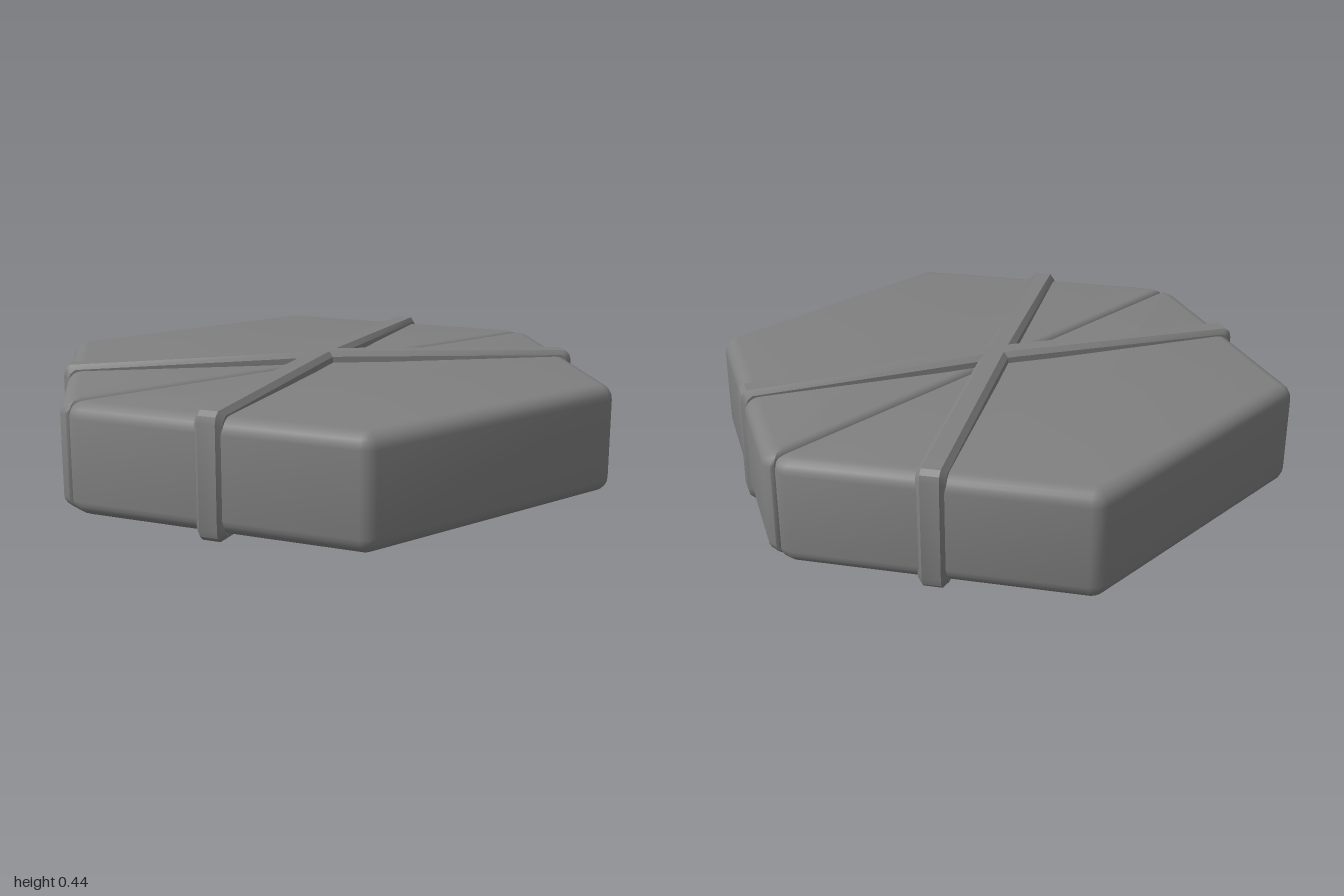
import * as THREE from 'three';
import { toCreasedNormals } from 'three/addons/utils/BufferGeometryUtils.js';

const MID = 0.223; // mid height of the model

// Skin a grid of points, points[u][v], closed along u and optionally along v.
function skin(points, closedV, crease) {
  const pos = [];
  const tri = (a, b, c) => {
    if (a.distanceTo(b) < 1e-6 || b.distanceTo(c) < 1e-6 || c.distanceTo(a) < 1e-6) return;
    for (const p of [a, b, c]) pos.push(p.x, p.y, p.z);
  };
  const nu = points.length, nv = points[0].length;
  for (let i = 0; i < nu; i++) {
    const p = points[i], q = points[(i + 1) % nu];
    for (let j = 0; j < (closedV ? nv : nv - 1); j++) {
      const k = (j + 1) % nv;
      tri(p[j], q[j], q[k]);
      tri(p[j], q[k], p[k]);
    }
  }
  const geo = new THREE.BufferGeometry();
  geo.setAttribute('position', new THREE.Float32BufferAttribute(pos, 3));
  return toCreasedNormals(geo, crease);
}

// Half of the hexagonal slab: every outline point rounds over to a core corner.
// The seam edge has a tighter rounding than the outer edges.
function halfSlab() {
  const front = [ // outer x, z, core x, z, rounding height
    [0.001, 0.95, 0.028, 0.94, 0.028], [0.003, 0.988, 0.028, 0.94, 0.03],
    [0.012, 1, 0.04, 0.94, 0.045], [0.05, 1, 0.05, 0.94, 0.05],
    [0.86, 0.533, 0.835, 0.488, 0.05], [0.878, 0.514, 0.835, 0.488, 0.05],
    [0.885, 0.488, 0.835, 0.488, 0.05],
  ];
  const back = front.map(([x, z, cx, cz, r]) => [x, -z, cx, -cz, r]).reverse();
  const half = 0.182, steps = 5;
  const points = [...front, ...back].map(([x, z, cx, cz, r]) => {
    const column = [new THREE.Vector3(0.44, MID - half, 0)];
    for (const side of [-1, 1]) {
      for (let k = 0; k <= steps; k++) {
        const a = (side < 0 ? steps - k : k) / steps * Math.PI / 2;
        const t = k === (side < 0 ? 0 : steps) ? 0 : Math.cos(a);
        column.push(new THREE.Vector3(
          cx + (x - cx) * t, MID + side * (half - r + r * Math.sin(a)), cz + (z - cz) * t));
      }
    }
    column.push(new THREE.Vector3(0.44, MID + half, 0));
    return column;
  });
  return skin(points, false, 0.7);
}

// Chamfered band running all the way round the slab, level at the crossing.
function strap() {
  const quarter = [ // along, height from middle
    [0.903, 0.165], [0.897, 0.187], [0.88, 0.202], [0.06, 0.222],
  ];
  const lower = quarter.map(([s, y]) => [s, -y]).reverse();
  const right = [...lower, ...quarter];
  const path = [...right, ...right.map(([s, y]) => [-s, -y])]; // point symmetric loop
  const section = [ // across, depth below the outer face
    [-0.048, 0.035], [-0.047, 0.016], [-0.03, 0],
    [0.03, 0], [0.047, 0.016], [0.048, 0.035],
  ];
  const points = path.map(([s, y]) => section.map(([w, d]) =>
    new THREE.Vector3(s * (1 - d / 0.9), MID + y * (1 - d / 0.21), w)));
  return skin(points, true, 0.5);
}

export function createModel() {
  const model = new THREE.Group();
  const material = new THREE.MeshStandardMaterial({ color: 0x808080 });
  const add = (name, geometry, degrees) => {
    const mesh = new THREE.Mesh(geometry, material);
    mesh.name = name;
    mesh.rotation.y = THREE.MathUtils.degToRad(degrees);
    model.add(mesh);
  };

  // Two mating slab halves with a rounded seam between them
  const slab = halfSlab();
  add('leftSlabHalf', slab, 0);
  add('rightSlabHalf', slab, 180);

  // Two straps crossing at the centre
  const band = strap();
  add('strapA', band, 61);
  add('strapB', band, -60);
  return model;
}
